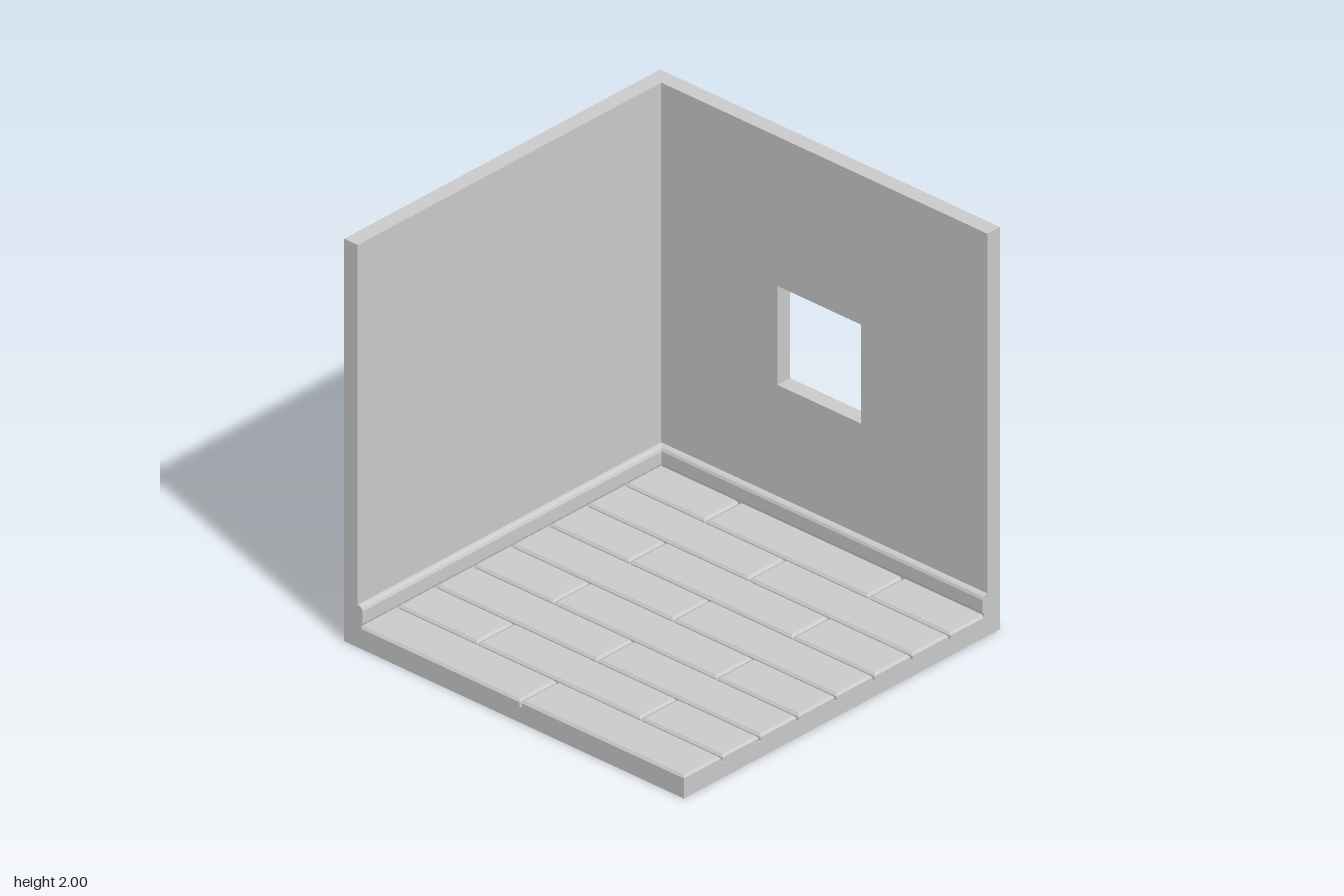
import * as THREE from 'three';

const T = 0.08;          // wall and floor thickness
const IN = -1 + T;       // inner face of both walls

export function createModel() {
  const room = new THREE.Group();
  room.name = 'roomCorner';
  const material = new THREE.MeshStandardMaterial({ color: 0xcccccc });

  const add = (name, geometry, x = 0, y = 0, z = 0, parent = room) => {
    const mesh = new THREE.Mesh(geometry, material);
    mesh.name = name;
    mesh.position.set(x, y, z);
    parent.add(mesh);
    return mesh;
  };

  // Floor slab and side wall
  add('floorSlab', new THREE.BoxGeometry(2, T, 2), 0, T / 2, 0);
  add('sideWall', new THREE.BoxGeometry(T, 2 - T, 2), -1 + T / 2, 1 + T / 2, 0);

  // Back wall with a square window opening
  const rectangle = (Type, x0, y0, x1, y1) => new Type([
    new THREE.Vector2(x0, y0), new THREE.Vector2(x1, y0),
    new THREE.Vector2(x1, y1), new THREE.Vector2(x0, y1),
  ]);
  const wall = rectangle(THREE.Shape, IN, T, 1, 2);
  wall.holes.push(rectangle(THREE.Path, -0.235, 0.765, 0.257, 1.257));
  add('backWall', new THREE.ExtrudeGeometry(wall, { depth: T, bevelEnabled: false }), 0, 0, -1);

  // Skirting boards: one moulded profile, run along each wall
  const profile = new THREE.Shape([
    [0, 0.1], [0.022, 0.1], [0.022, 0.118], [0.029, 0.126],
    [0.029, 0.19], [0.023, 0.203], [0.012, 0.21], [0, 0.212],
  ].map(([x, y]) => new THREE.Vector2(x, y)));
  const skirting = new THREE.ExtrudeGeometry(profile, { depth: 1 - IN, bevelEnabled: false });
  add('sideSkirting', skirting, IN, 0, IN);
  add('backSkirting', skirting, 1, 0, IN).rotation.y = -Math.PI / 2;

  // Floor planks in staggered rows, each with a chamfered top edge
  const planks = new THREE.Group();
  planks.name = 'floorPlanks';
  room.add(planks);
  const rows = 8, pitch = (1 - IN) / rows, gap = 0.012, chamfer = 0.01;
  const bottom = T, shoulder = 0.1, top = 0.112;

  const plankGeometry = (w, d) => {
    const g = new THREE.BoxGeometry(w, 2, d, 1, 2, 1).toNonIndexed();
    const p = g.attributes.position;
    for (let i = 0; i < p.count; i++) {
      const level = Math.round(p.getY(i));
      p.setY(i, [bottom, shoulder, top][level + 1]);
      if (level === 1) {
        p.setX(i, p.getX(i) - Math.sign(p.getX(i)) * chamfer);
        p.setZ(i, p.getZ(i) - Math.sign(p.getZ(i)) * chamfer);
      }
    }
    g.computeVertexNormals();
    return g;
  };

  for (let r = 0; r < rows; r++) {
    const joints = r % 2 ? [IN, 0.04, 1] : [IN, -0.44, 0.52, 1];
    const z0 = IN + r * pitch + (r ? gap / 2 : 0);
    const z1 = IN + (r + 1) * pitch - (r < rows - 1 ? gap / 2 : 0);
    for (let j = 0; j < joints.length - 1; j++) {
      const x0 = joints[j] + (j ? gap / 2 : 0);
      const x1 = joints[j + 1] - (j < joints.length - 2 ? gap / 2 : 0);
      add('plank', plankGeometry(x1 - x0, z1 - z0), (x0 + x1) / 2, 0, (z0 + z1) / 2, planks);
    }
  }
  return room;
}
